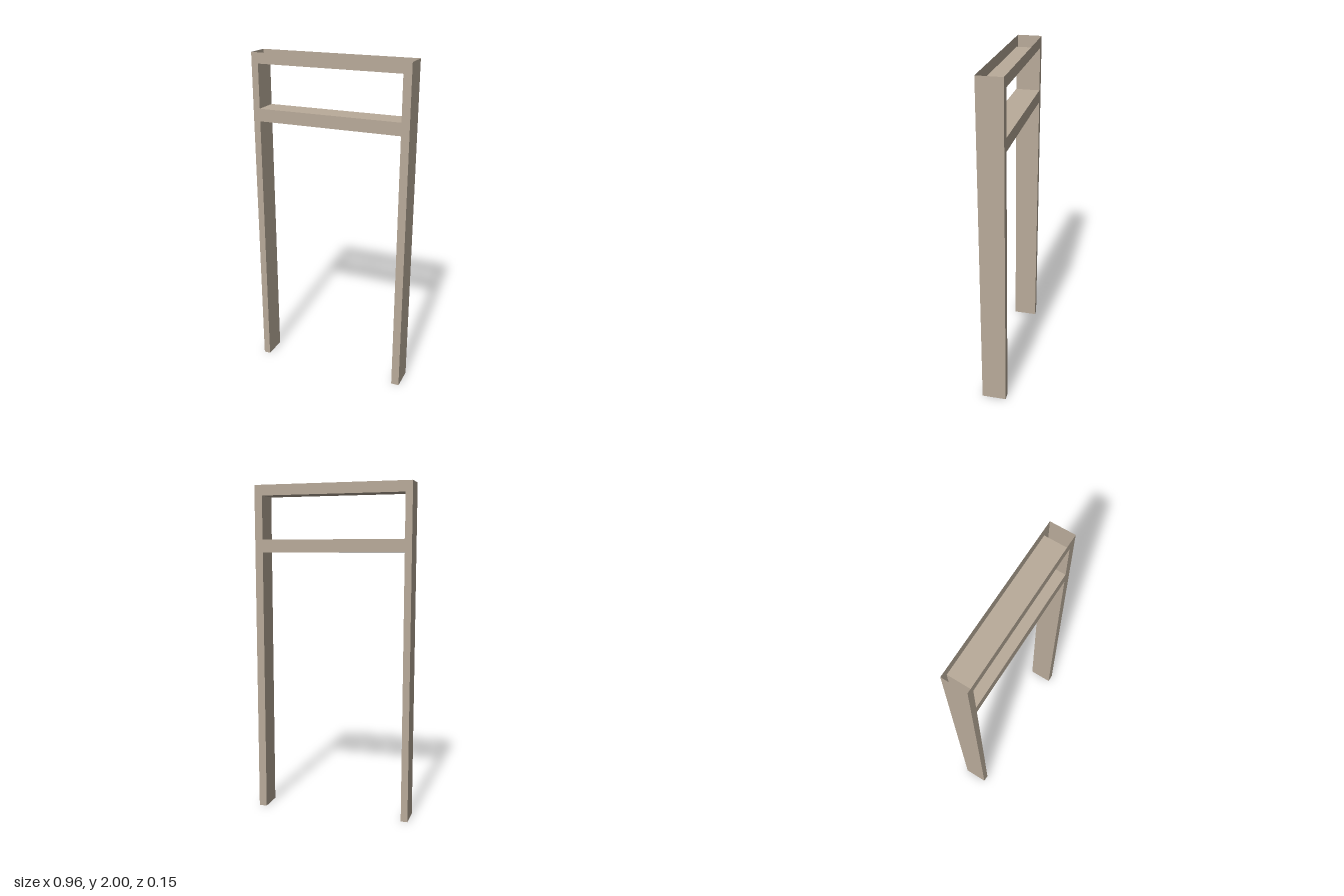
import * as THREE from 'three';

const W = 0.479, H = 2, D = 0.073;            // half width, height, half depth
const IN_L = -0.438, IN_R = 0.431;            // inner faces of the jambs
const BAR_LOW = 1.602, BAR_TOP = 1.677, HEAD_LOW = 1.937;

export function createModel() {
  const group = new THREE.Group();
  group.name = 'doorFrame';
  const paint = new THREE.MeshStandardMaterial({ color: 0xb9ab9a, side: THREE.DoubleSide });
  paint.name = 'taupe paint';

  const add = (name, geometry) => {
    const mesh = new THREE.Mesh(geometry, paint);
    mesh.name = name;
    group.add(mesh);
    return mesh;
  };

  // Flat frame outline with the transom opening cut out
  const outline = (a, b) => {
    const shape = new THREE.Shape([
      [-W, 0], [a, 0], [a, BAR_LOW], [b, BAR_LOW], [b, 0], [W, 0], [W, H], [-W, H],
    ].map(([x, y]) => new THREE.Vector2(x, y)));
    shape.holes.push(new THREE.Path([
      [a, BAR_TOP], [a, HEAD_LOW], [b, HEAD_LOW], [b, BAR_TOP],
    ].map(([x, y]) => new THREE.Vector2(x, y))));
    return new THREE.ShapeGeometry(shape);
  };
  add('frontFace', outline(IN_L, IN_R)).position.z = D;
  const back = add('backFace', outline(-IN_R, -IN_L));
  back.rotation.y = Math.PI;
  back.position.z = -D;

  // Upright panel facing +x (dir 1) or -x (dir -1)
  const upright = (name, x, y0, y1, dir) => {
    const g = new THREE.PlaneGeometry(2 * D, y1 - y0).rotateY(dir * Math.PI / 2);
    add(name, g.translate(x, (y0 + y1) / 2, 0));
  };
  // Level panel facing up (dir 1) or down (dir -1)
  const level = (name, y, dir) => {
    const g = new THREE.PlaneGeometry(IN_R - IN_L, 2 * D).rotateX(-dir * Math.PI / 2);
    add(name, g.translate((IN_L + IN_R) / 2, y, 0));
  };

  // Jambs: outer sides, then linings of the doorway and the transom opening
  for (const [side, dir, inner] of [['left', 1, IN_R], ['right', -1, IN_L]]) {
    upright(side + 'OuterSide', dir * W, 0, H, dir);
    upright(side + 'DoorLining', inner, 0, BAR_LOW, -dir);
    upright(side + 'TransomLining', inner, BAR_TOP, HEAD_LOW, -dir);
  }

  // Crossbar and head; the frame is hollow, open at the top and at the feet
  level('crossbarUnderside', BAR_LOW, -1);
  level('crossbarTop', BAR_TOP, 1);
  level('headUnderside', HEAD_LOW, -1);

  return group;
}
